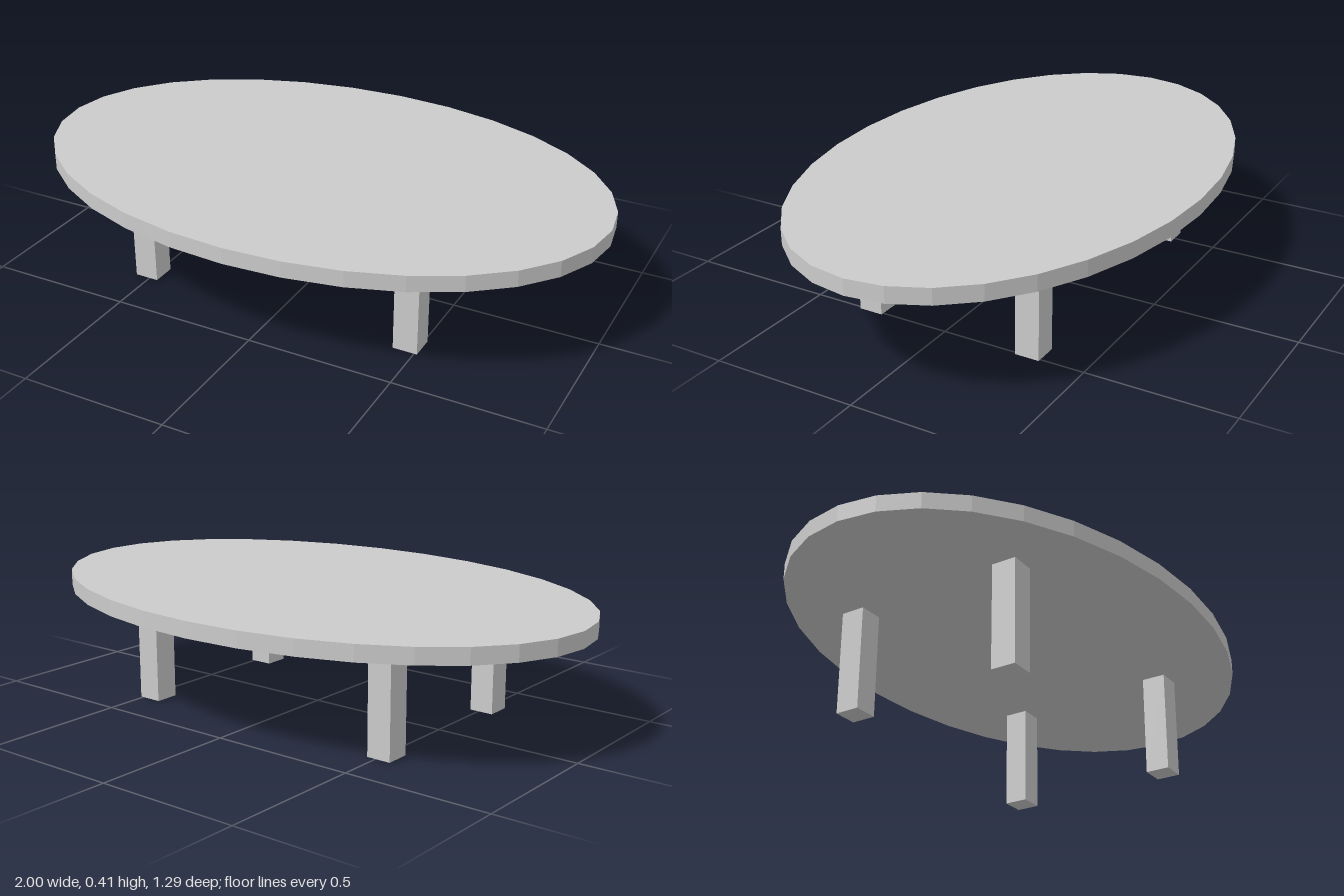
import * as THREE from 'three';

export function createModel() {
  const model = new THREE.Group();
  model.name = 'ovalTable';
  const material = new THREE.MeshStandardMaterial({ color: 0xcccccc, flatShading: true });

  const legHeight = 0.358, topThickness = 0.055, legWidth = 0.084;

  // Oval top: a faceted disc squashed in depth
  const topGeometry = new THREE.CylinderGeometry(1, 1, topThickness, 32);
  topGeometry.scale(1, 1, 0.644);
  const top = new THREE.Mesh(topGeometry, material);
  top.name = 'tableTop';
  top.position.y = legHeight + topThickness / 2;
  model.add(top);

  // Four square legs, set slightly off-centre under the top
  const legGeometry = new THREE.BoxGeometry(legWidth, legHeight, legWidth);
  for (const [side, x] of [['Right', -0.511], ['Left', 0.468]]) {
    for (const [end, z] of [['front', 0.283], ['back', -0.307]]) {
      const leg = new THREE.Mesh(legGeometry, material);
      leg.name = `${end}${side}Leg`;
      leg.position.set(x, legHeight / 2, z);
      model.add(leg);
    }
  }
  return model;
}
